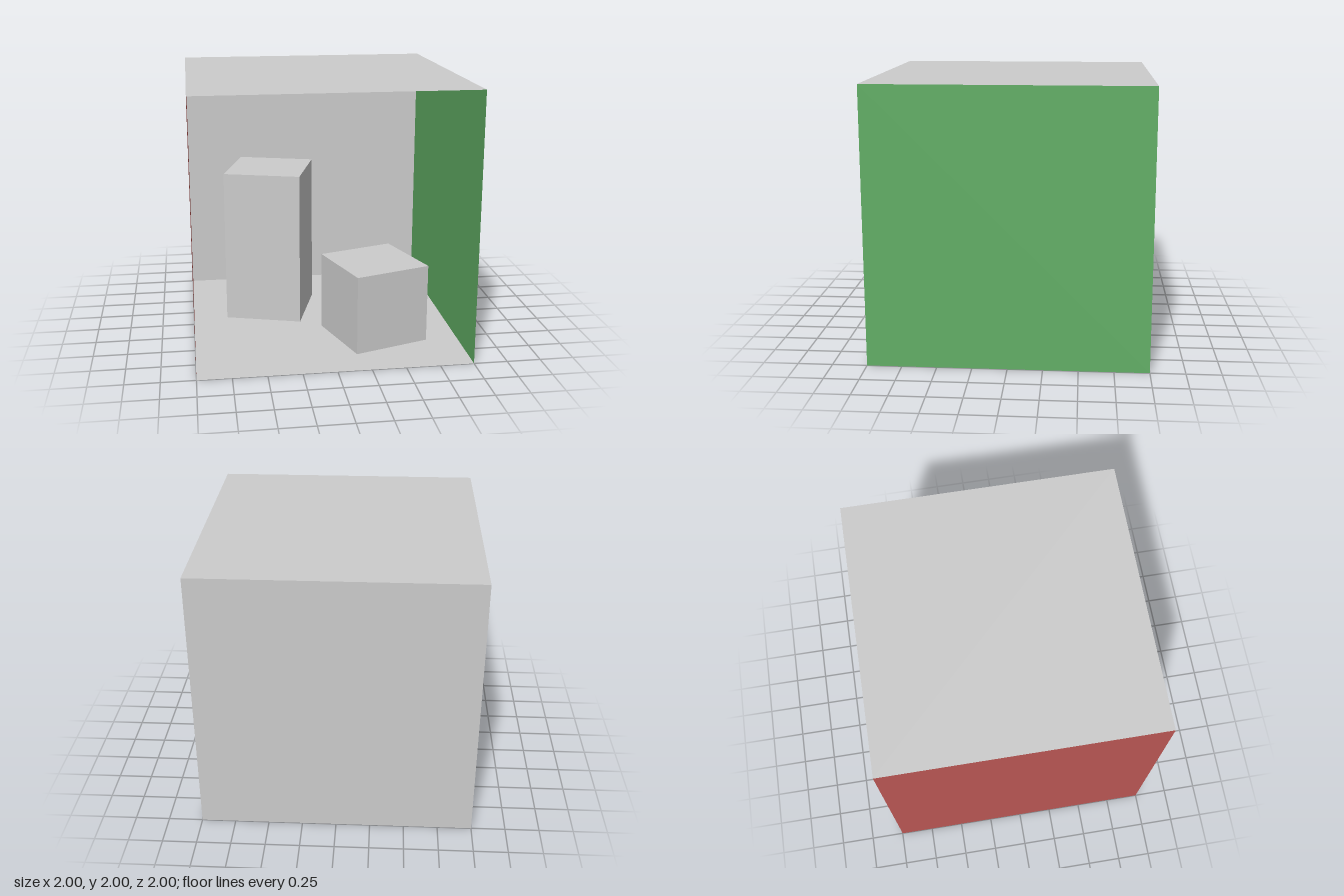
import * as THREE from 'three';

const SIZE = 2;
const HALF = SIZE / 2;

export function createModel() {
  const room = new THREE.Group();
  room.name = 'openRoom';

  const wallMaterial = (color) =>
    new THREE.MeshStandardMaterial({ color, side: THREE.DoubleSide });
  const grey = wallMaterial(0xcccccc);
  const red = wallMaterial(0xbc5855);
  const green = wallMaterial(0x61ae65);
  const blockGrey = new THREE.MeshStandardMaterial({ color: 0xcccccc });

  // Thin square panel facing into the room
  const addPanel = (name, material, position, rotX, rotY) => {
    const panel = new THREE.Mesh(new THREE.PlaneGeometry(SIZE, SIZE), material);
    panel.name = name;
    panel.position.set(...position);
    panel.rotation.set(rotX, rotY, 0);
    room.add(panel);
  };

  // Square block standing on the floor, turned about its upright axis
  const addBlock = (name, width, height, x, z, degrees) => {
    const block = new THREE.Mesh(new THREE.BoxGeometry(width, height, width), blockGrey);
    block.name = name;
    block.position.set(x, height / 2, z);
    block.rotation.y = THREE.MathUtils.degToRad(degrees);
    room.add(block);
  };

  // Room shell, open at the front
  const quarter = Math.PI / 2;
  addPanel('floor', grey, [0, 0, 0], -quarter, 0);
  addPanel('ceiling', grey, [0, SIZE, 0], quarter, 0);
  addPanel('backWall', grey, [0, HALF, -HALF], 0, 0);
  addPanel('rightWall', red, [-HALF, HALF, 0], 0, quarter);
  addPanel('leftWall', green, [HALF, HALF, 0], 0, -quarter);

  // Blocks inside the room
  addBlock('tallBlock', 0.6, 1.2, -0.362, -0.315, -16.5);
  addBlock('shortBlock', 0.6, 0.6, 0.378, 0.35, 18.2);

  return room;
}
